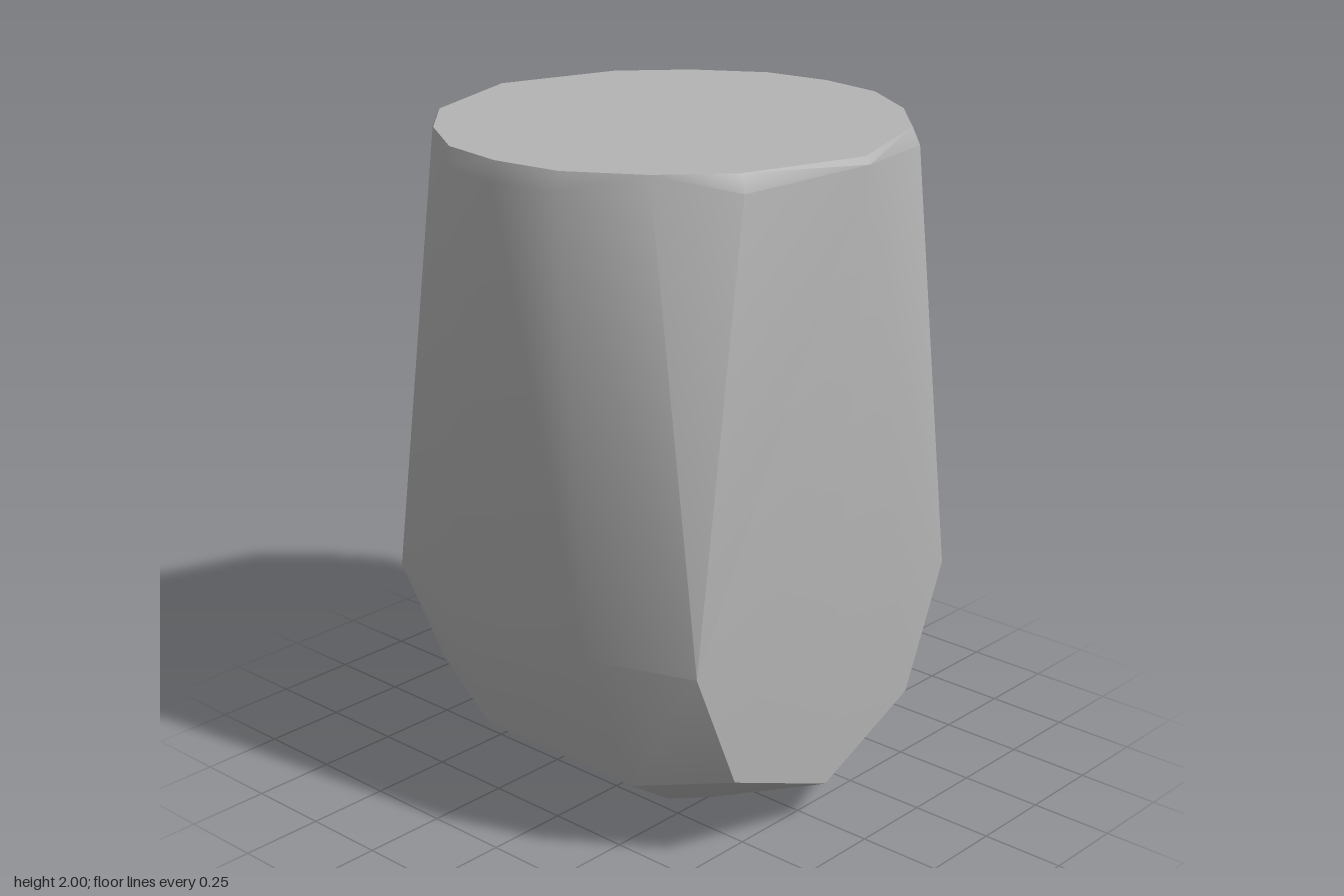
import * as THREE from 'three';
import { ConvexGeometry } from 'three/addons/geometries/ConvexGeometry.js';
import { toCreasedNormals } from 'three/addons/utils/BufferGeometryUtils.js';

export function createModel() {
  const group = new THREE.Group();
  group.name = 'facetedStone';
  const stoneGrey = new THREE.MeshStandardMaterial({ color: 0xb4b4b4 });
  stoneGrey.name = 'stone grey';

  // corners of one quarter, mirrored across x and z
  const quarter = [
    // flat top
    [0, 2, 0.685], [0.36, 2, 0.565], [0.53, 2, 0.405], [0.655, 2, 0.205], [0.685, 2, 0],
    // chipped rim
    [0, 1.98, 0.7], [0.37, 1.95, 0.585], [0.67, 1.95, 0.21], [0.7, 1.94, 0],
    // widest part of the lower body
    [0, 0.65, 0.625], [0.55, 0.65, 0.59], [0.66, 0.65, 0.28],
    // bevelled lower edges
    [0.39, 0.28, 0.59], [0, 0.125, 0.6], [0.49, 0.2, 0.29],
    // rounded keel
    [0.31, 0.08, 0.27], [0.14, 0.02, 0.28], [0, 0, 0.29],
  ];
  const points = [];
  for (const [x, y, z] of quarter) {
    for (const sx of x ? [1, -1] : [1]) {
      for (const sz of z ? [1, -1] : [1]) points.push(new THREE.Vector3(x * sx, y, z * sz));
    }
  }

  // soft facets with sharp main edges
  const body = new THREE.Mesh(toCreasedNormals(new ConvexGeometry(points), 0.55), stoneGrey);
  body.name = 'body';
  group.add(body);
  return group;
}
